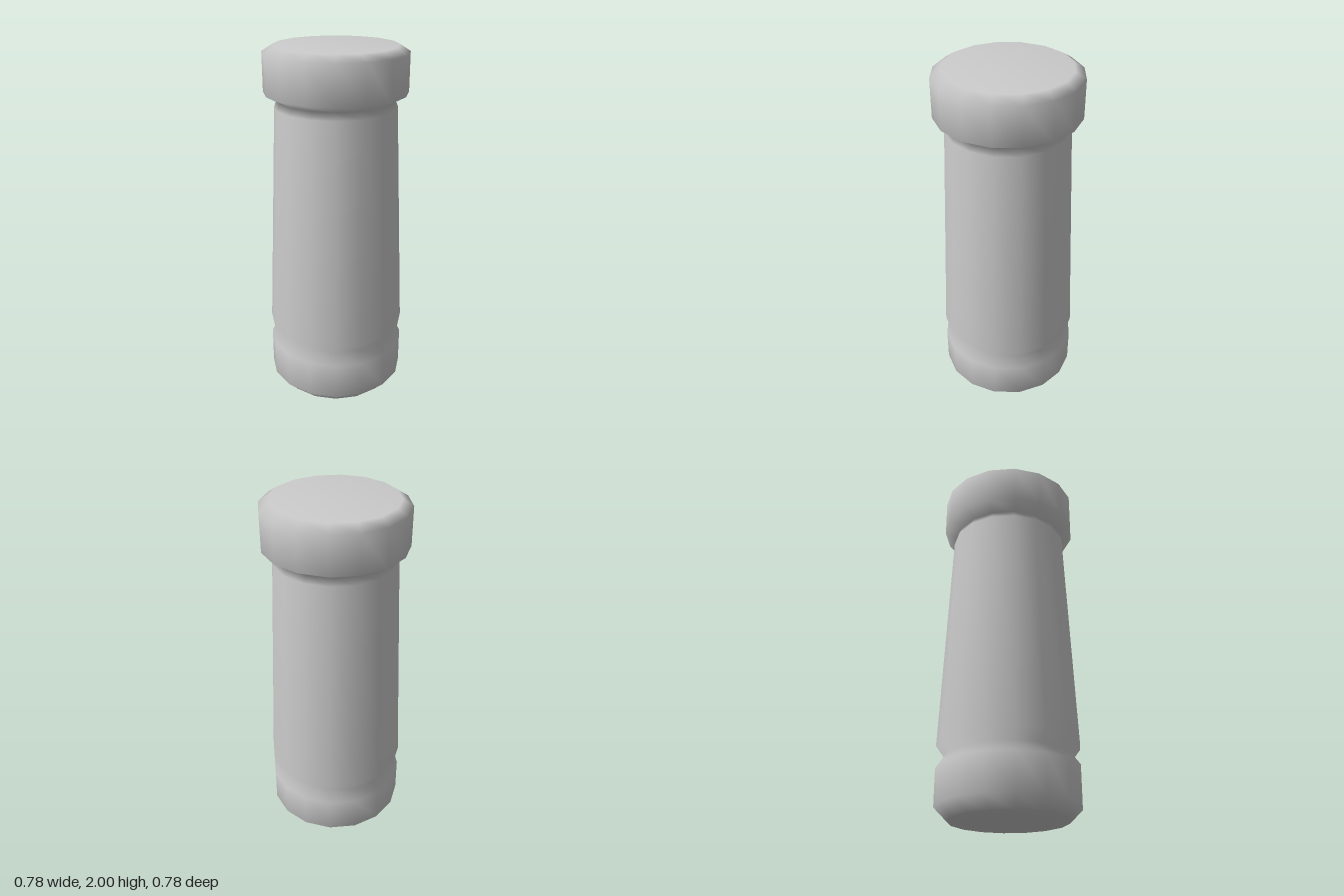
import * as THREE from 'three';

export function createModel() {
  const group = new THREE.Group();
  group.name = 'column';

  // One continuous smooth profile (radius, height), from the underside to the top
  const profile = [
    // bevelled foot
    [0, 0], [0.32, 0], [0.39, 0.07], [0.39, 0.275],
    // lower groove, tapered shaft, upper groove
    [0.345, 0.335], [0.39, 0.395], [0.333, 1.675], [0.315, 1.715],
    // bevelled head
    [0.39, 1.755], [0.39, 1.965], [0.335, 2], [0, 2],
  ].map(([r, y]) => new THREE.Vector2(r, y));

  const column = new THREE.Mesh(
    new THREE.LatheGeometry(profile, 16),
    new THREE.MeshStandardMaterial({ color: 0xcccccc })
  );
  column.name = 'turnedColumn';
  group.add(column);

  return group;
}
